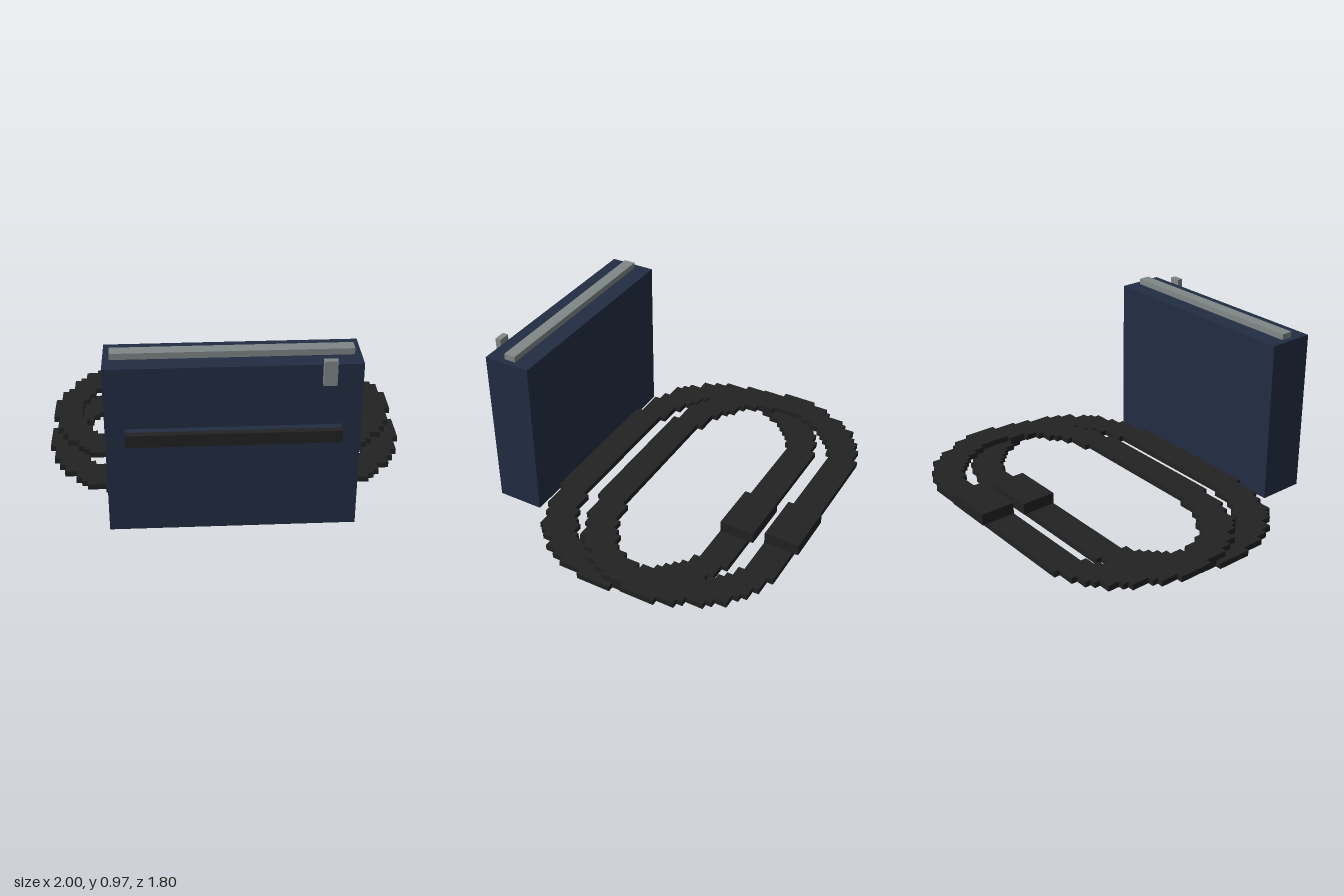
import * as THREE from 'three';

const U = 1 / 30; // size of one block

const navy = new THREE.MeshStandardMaterial({ color: 0x222d43 });
navy.name = 'navy fabric';
const black = new THREE.MeshStandardMaterial({ color: 0x222222 });
black.name = 'black webbing';
const grey = new THREE.MeshStandardMaterial({ color: 0x808887 });
grey.name = 'grey metal';

// Half widths of the strap loop for each row of blocks, back to front
const OUTER_START = -18;
const OUTER = [17, 20, 22, 23, 25, 25, 26, 27, 27, 27, 28, 29, 29, 29, 30, 30, 30, 30, 30, 30,
  29, 29, 29, 29, 28, 28, 27, 27, 25, 25, 24, 23, 20, 18, 13];
const INNER_START = -13;
const INNER = [17, 19, 20, 21, 22, 23, 23, 24, 24, 25, 25, 25, 25, 25, 25,
  24, 24, 24, 23, 23, 22, 20, 19, 17, 13];

// Box given by its low and high corners, in blocks
function block(name, material, [x0, y0, z0], [x1, y1, z1]) {
  const geometry = new THREE.BoxGeometry((x1 - x0) * U, (y1 - y0) * U, (z1 - z0) * U);
  geometry.translate((x0 + x1) * U / 2, (y0 + y1) * U / 2, (z0 + z1) * U / 2);
  const mesh = new THREE.Mesh(geometry, material);
  mesh.name = name;
  return mesh;
}

// Stepped closed outline, mirrored left to right
function steppedOutline(halfWidths, start) {
  const right = [];
  halfWidths.forEach((w, i) => {
    if (w !== halfWidths[i - 1]) right.push([w, start + i]);
    if (w !== halfWidths[i + 1]) right.push([w, start + i + 1]);
  });
  const left = right.map(([x, z]) => [-x, z]).reverse();
  return [...right, ...left].map(([x, z]) => new THREE.Vector2(x * U, z * U));
}

// Flat oval strap with its shoulder pad
function strap(name, y, shiftZ) {
  const group = new THREE.Group();
  group.name = name;
  const shape = new THREE.Shape(steppedOutline(OUTER, OUTER_START));
  shape.holes.push(new THREE.Path(steppedOutline(INNER, INNER_START)));
  const geometry = new THREE.ExtrudeGeometry(shape, { depth: U, bevelEnabled: false });
  geometry.rotateX(Math.PI / 2);
  geometry.translate(0, U, 0);
  const loop = new THREE.Mesh(geometry, black);
  loop.name = 'strapLoop';
  group.add(loop, block('shoulderPad', black, [1, 1, -19], [10, 3, -13]));
  group.position.set(0, y * U, shiftZ * U);
  return group;
}

export function createModel() {
  const model = new THREE.Group();
  model.name = 'bag';

  // Main body and front pocket
  model.add(
    block('bagBody', navy, [-19, 0, 17], [19, 28, 25]),
    block('pocketBack', navy, [-16, 2, 25], [16, 18, 26]),
    block('pocketFront', navy, [-16, 2, 26], [16, 16, 27]),
    block('pocketTrim', black, [-16, 16, 26], [16, 18, 27]),
  );

  // Zip along the top and its hanging pull
  model.add(
    block('zip', grey, [-18, 28, 20], [18, 29, 22]),
    block('zipPull', grey, [13, 25, 25], [15, 29, 26]),
  );

  // Two overlapping straps lying on the ground behind
  model.add(strap('lowerStrap', 0, 0), strap('upperStrap', 1, -8));

  return model;
}
